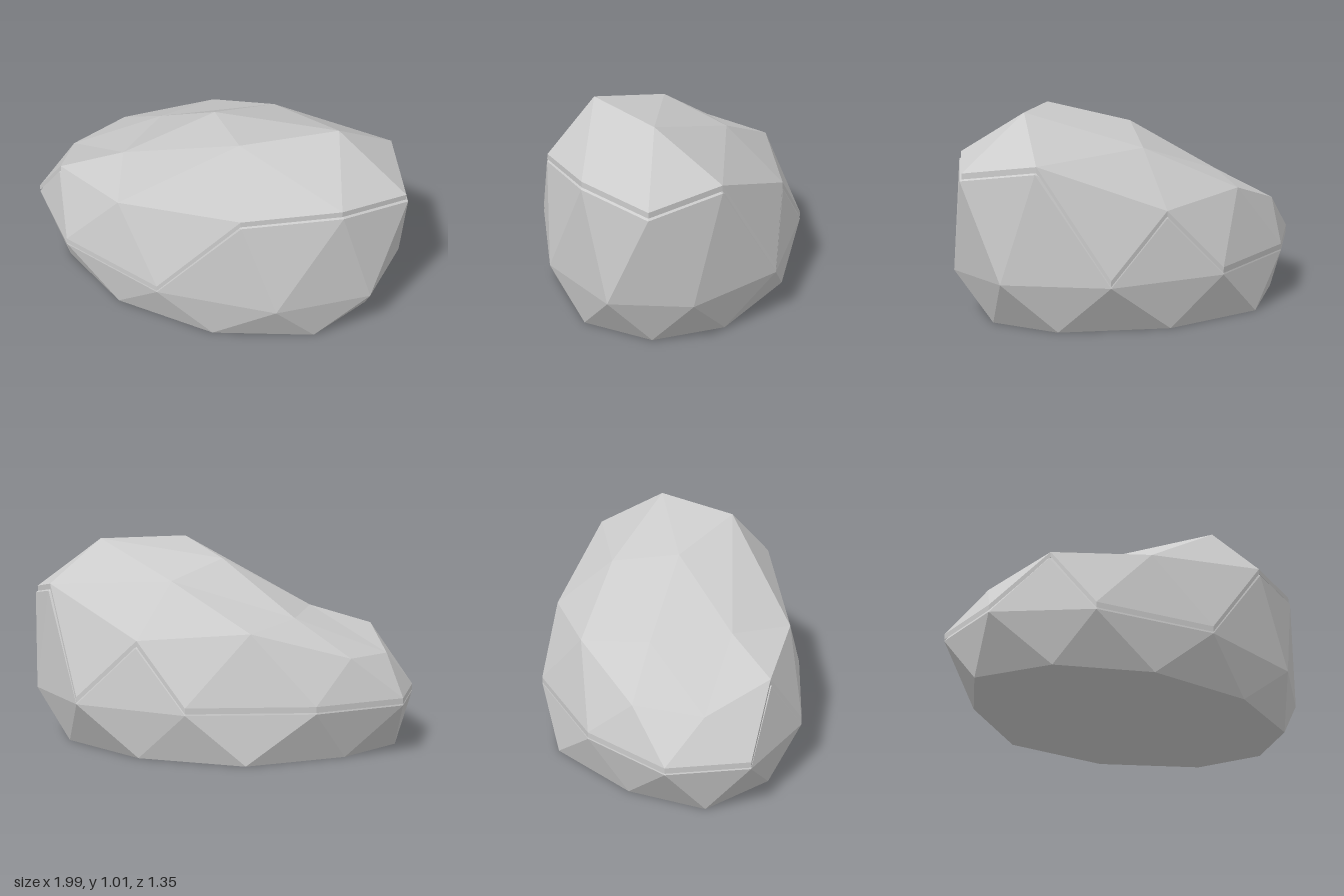
import * as THREE from 'three';

// Rings of [x, y, z], running from +x round through +z
const base = [[0.82, 0.03], [0.68, 0.37], [0.22, 0.58], [-0.32, 0.58], [-0.74, 0.37],
  [-0.94, 0.03], [-0.74, -0.31], [-0.32, -0.62], [0.22, -0.59], [0.68, -0.31]].map(([x, z]) => [x, 0, z]);
const waist = [[0.91, 0.23], [0.55, 0.55], [-0.04, 0.67], [-0.63, 0.55], [-1, 0.23],
  [-1, -0.17], [-0.63, -0.49], [-0.04, -0.68], [0.55, -0.55], [0.91, -0.17]].map(([x, z]) => [x, 0.24, z]);
const shoulder = [[0.98, 0.75, 0.03], [0.78, 0.8, 0.35], [0.365, 0.75, 0.57], [-0.31, 0.62, 0.55],
  [-0.76, 0.57, 0.36], [-0.89, 0.465, 0.03], [-0.76, 0.48, -0.29], [-0.31, 0.61, -0.49],
  [0.23, 0.57, -0.575], [0.78, 0.8, -0.29]];
const crown = [[0.62, 1.01, 0.03], [0.25, 1.01, 0.35], [-0.46, 0.67, 0.23],
  [-0.46, 0.65, -0.17], [0.14, 0.83, -0.29]];
const peak = [-0.04, 0.92, 0.03];
const LIFT = 0.036;

const raise = (p, dy) => [p[0], p[1] + dy, p[2]];

// Triangles are listed clockwise from outside, so each is flipped here
function makeMesh(name, tris) {
  const geometry = new THREE.BufferGeometry();
  const pos = tris.flatMap(([a, b, c]) => [...a, ...c, ...b]);
  geometry.setAttribute('position', new THREE.Float32BufferAttribute(pos, 3));
  geometry.computeVertexNormals();
  const material = new THREE.MeshStandardMaterial({ color: 0xcccccc, flatShading: true });
  const mesh = new THREE.Mesh(geometry, material);
  mesh.name = name;
  return mesh;
}

// Facets between waist and shoulder; the two tests choose which ones to keep
function sideFacets(w, s, keepUp, keepDown) {
  const tris = [];
  for (let j = 0; j < 10; j++) {
    if (keepUp(j)) tris.push([w[(j + 9) % 10], w[j], s[j]]);
    if (keepDown(j)) tris.push([s[j], w[j], s[(j + 1) % 10]]);
  }
  return tris;
}

// Facets from the shoulder over the crown to the peak
function topFacets(s, c, p) {
  const tris = [];
  for (let k = 0; k < 5; k++) {
    const n = (k + 1) % 5, mid = s[2 * k + 1], next = s[(2 * k + 2) % 10];
    tris.push([c[k], s[2 * k], mid], [c[k], mid, c[n]], [c[n], mid, next], [p, c[k], c[n]]);
  }
  return tris;
}

export function createModel() {
  const group = new THREE.Group();
  group.name = 'boulder';

  // Stone body: flat foot, flared waist, and a top just below the cap
  const low = shoulder.map(([x, y, z]) => [x * 1.012, y - LIFT, z * 1.005]);
  const body = [];
  for (let j = 0; j < 10; j++) {
    const n = (j + 1) % 10;
    body.push([[0, 0, 0], base[n], base[j]], [base[j], base[n], waist[j]],
      [waist[(j + 9) % 10], base[j], waist[j]]);
  }
  body.push(...sideFacets(waist, low, () => true, () => true));
  body.push(...topFacets(low, crown.map(p => raise(p, -LIFT)), raise(peak, -LIFT)));
  group.add(makeMesh('stoneBody', body));

  // Cap slab: the upward-facing facets, lifted clear of the body
  const w = waist.map(p => raise(p, LIFT)), s = shoulder;
  const cap = [
    ...sideFacets(w, s, j => [3, 5, 6, 7].includes(j), j => j >= 2 && j <= 8),
    ...topFacets(s, crown, peak),
  ];

  // Thin rim around the zigzag edge of the cap
  const rim = [s[9], w[8], s[8], w[7], w[6], w[5], w[4], s[4], w[3], w[2], s[2], s[1], s[0]];
  rim.forEach((a, i) => {
    const b = rim[(i + 1) % rim.length], a2 = raise(a, -0.028), b2 = raise(b, -0.028);
    cap.push([a, b, b2], [a, b2, a2]);
  });
  const capMesh = makeMesh('capSlab', cap);
  capMesh.material.side = THREE.DoubleSide;
  group.add(capMesh);

  return group;
}
